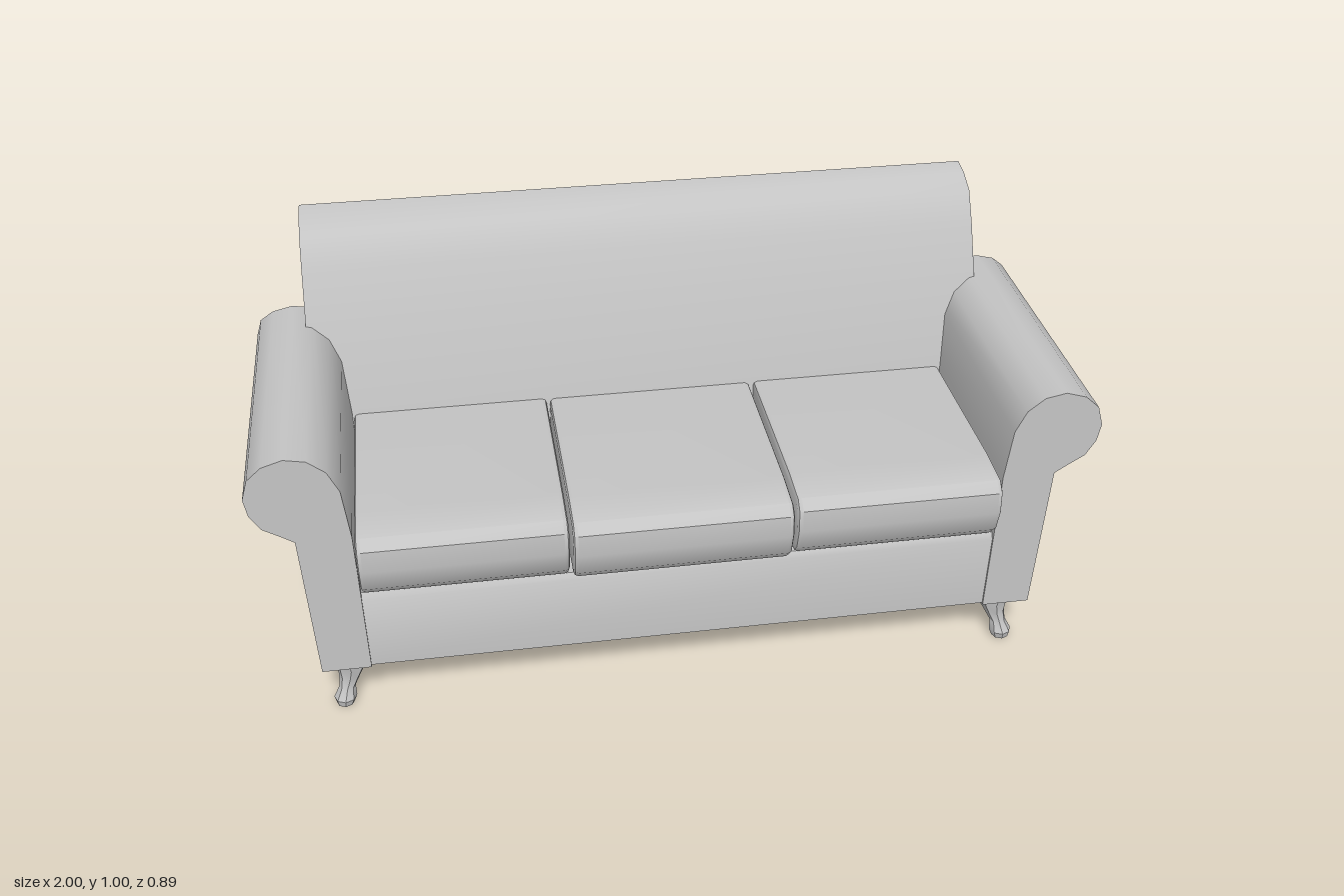
import * as THREE from 'three';
import { toCreasedNormals } from 'three/addons/utils/BufferGeometryUtils.js';

const fabric = new THREE.MeshStandardMaterial({ color: 0xc4c4c4 });
fabric.name = 'grey fabric';

// Extrude a closed outline of [x, y] points along z, from z0 to z1.
function prism(points, z0, z1, bevel = 0) {
  const shape = new THREE.Shape(points.map(([x, y]) => new THREE.Vector2(x, y)));
  const geo = new THREE.ExtrudeGeometry(shape, {
    depth: z1 - z0 - 2 * bevel, bevelEnabled: bevel > 0,
    bevelSize: bevel, bevelThickness: bevel, bevelOffset: -bevel, bevelSegments: 2,
  });
  return geo.translate(0, 0, z0 + bevel);
}

// Extrude a side outline of [z, y] points along x, from x0 to x1.
function sidePrism(points, x0, x1, bevel = 0) {
  return prism(points.map(([z, y]) => [-z, y]), x0, x1, bevel).rotateY(Math.PI / 2);
}

// Move every vertex by a rule.
function bend(geo, rule) {
  const p = geo.attributes.position;
  const v = new THREE.Vector3();
  for (let i = 0; i < p.count; i++) {
    rule(v.fromBufferAttribute(p, i));
    p.setXYZ(i, v.x, v.y, v.z);
  }
  return geo;
}

function addPart(group, name, geo, crease = 0.7) {
  const mesh = new THREE.Mesh(toCreasedNormals(geo, crease), fabric);
  mesh.name = name;
  group.add(mesh);
  return mesh;
}

export function createModel() {
  const sofa = new THREE.Group();
  sofa.name = 'sofa';

  // Base with the front rail and a slightly sloping underside
  addPart(sofa, 'base', sidePrism(
    [[-0.315, 0.13], [0.39, 0.148], [0.39, 0.35], [0.38, 0.365], [-0.2, 0.365]], -0.87, 0.87));

  // Raked back with a rounded crest, narrowing slightly to the top
  const back = sidePrism([
    [-0.32, 0.13], [-0.1, 0.14], [-0.1, 0.4], [-0.13, 0.55], [-0.2, 0.77], [-0.25, 0.89],
    [-0.29, 0.965], [-0.345, 0.992], [-0.395, 1.0], [-0.425, 0.98], [-0.445, 0.95],
  ], -0.88, 0.88);
  addPart(sofa, 'back', bend(back, v => { v.x *= 1 - 0.03 * Math.max(0, v.y - 0.15); }));

  // Rolled arms
  const armOutline = [
    [0.765, 0.145], [0.883, 0.145], [0.9, 0.54], [0.93, 0.56], [0.97, 0.585], [0.993, 0.625],
    [1.0, 0.67], [0.985, 0.72], [0.95, 0.752], [0.9, 0.768], [0.85, 0.758], [0.81, 0.725],
    [0.785, 0.67], [0.772, 0.54],
  ];
  for (const [side, name] of [[1, 'leftArm'], [-1, 'rightArm']]) {
    const outline = armOutline.map(([x, y]) => [x * side, y]);
    const arm = bend(prism(outline, -0.34, 0.395), v => {
      if (v.z < 0) v.z = Math.min(-0.295, -0.34 + 0.5 * Math.abs(v.y - 0.68));
      if (v.z < 0 && v.y < 0.53) v.z = -0.31;
    });
    addPart(sofa, name, arm);
  }

  // Three seat cushions, the middle one a little further forward
  const cushionOutline = [
    [-0.14, 0.365], [0.39, 0.372], [0.415, 0.4], [0.43, 0.46], [0.425, 0.515],
    [0.4, 0.538], [0.3, 0.545], [-0.14, 0.535],
  ];
  [[-0.768, -0.277, 0], [-0.27, 0.255, 0.015], [0.265, 0.768, 0]].forEach(([x0, x1, push], i) => {
    const cushion = sidePrism(cushionOutline, x0, x1, 0.012);
    addPart(sofa, ['rightCushion', 'middleCushion', 'leftCushion'][i], cushion.translate(0, 0, push));
  });

  // Carved feet, turned and then swept outward towards the toe
  const legProfile = [
    [0, 0], [0.022, 0], [0.028, 0.018], [0.02, 0.045], [0.027, 0.075],
    [0.038, 0.105], [0.036, 0.155], [0, 0.155],
  ].map(([r, y]) => new THREE.Vector2(r, y));
  for (const x of [-0.83, 0.83]) {
    for (const z of [-0.275, 0.335]) {
      const leg = bend(new THREE.LatheGeometry(legProfile, 8), v => {
        const sweep = 0.012 * Math.cos(v.y * 28);
        v.x += sweep * Math.sign(x);
        v.z += sweep * Math.sign(z);
      });
      const name = (z > 0 ? 'front' : 'back') + (x > 0 ? 'Left' : 'Right') + 'Leg';
      addPart(sofa, name, leg, 0.5).position.set(x, 0, z);
    }
  }
  return sofa;
}
